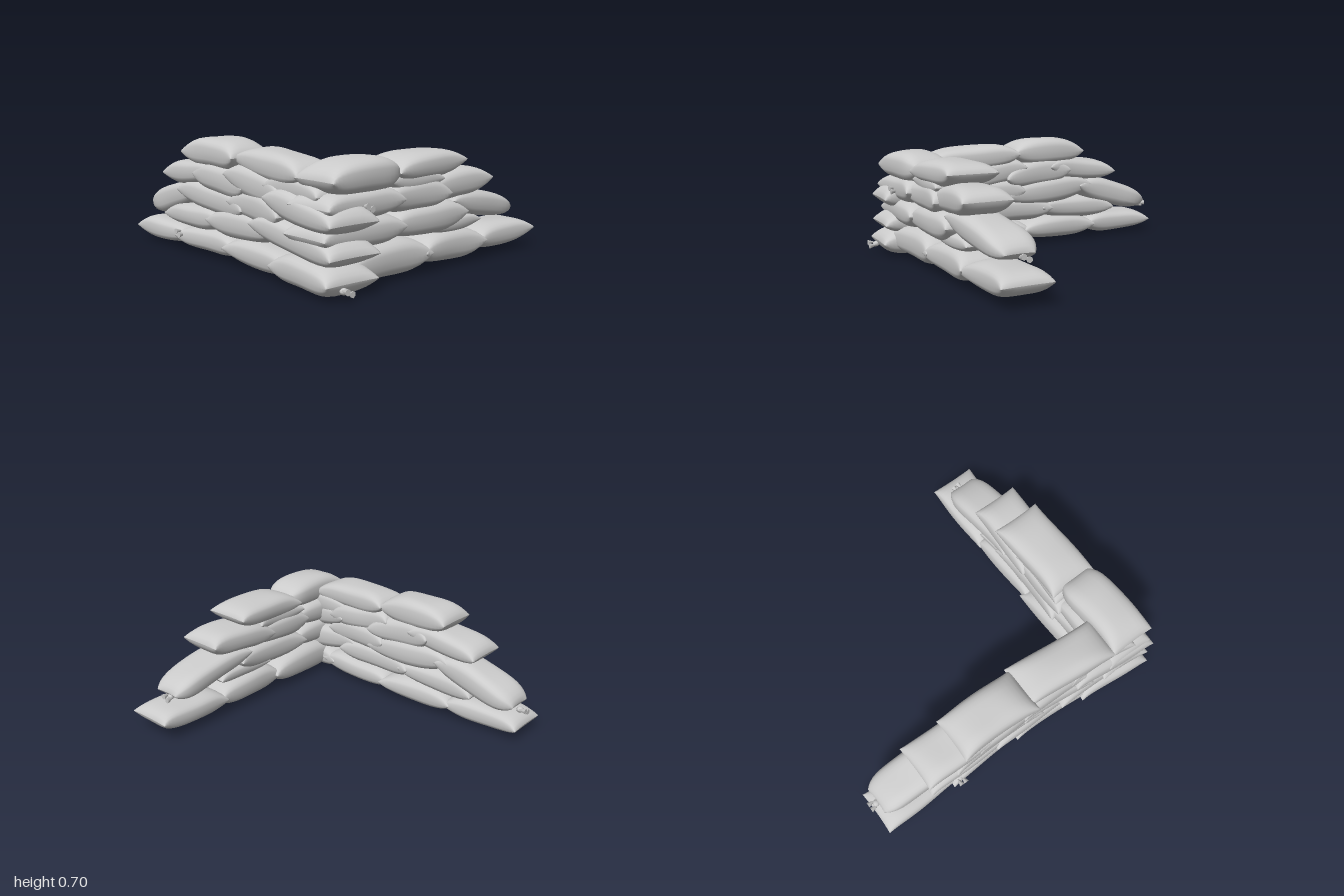
import * as THREE from 'three';
import { mergeVertices } from 'three/addons/utils/BufferGeometryUtils.js';

const material = new THREE.MeshStandardMaterial({ color: 0xcccccc, side: THREE.DoubleSide });

// Pillow: a tube with a rounded-box section, flattened to a flared seam at both ends.
// gather = -1 or 1 draws the first or last end together.
function bagGeometry(length, width, height, seed, gather) {
  let g = new THREE.CylinderGeometry(1, 1, 2, 28, 18, true).rotateX(Math.PI / 2);
  g.deleteAttribute('uv');
  g.deleteAttribute('normal');
  g = mergeVertices(g, 1e-4);
  const p = g.attributes.position;
  const squash = v => Math.sign(v) * Math.pow(Math.abs(v), 0.65);
  for (let i = 0; i < p.count; i++) {
    const s = Math.sin(p.getZ(i) * Math.PI / 2); // rings gather near the ends
    const x = squash(p.getX(i)), y = squash(p.getY(i));
    const full = Math.pow(Math.max(0, 1 - Math.abs(s) ** 3.5), 0.55);
    const flare = 0.96 + 0.05 * s ** 6 - 0.4 * Math.max(0, s * gather) ** 6;
    const dent = 1 + 0.05 * Math.sin(3 * s + seed * 1.7 + x * 2);
    const sag = 0.025 * Math.sin(seed * 2.3 + s * 2.5) * full;
    p.setXYZ(i,
      x * width / 2 * flare + 0.008 * Math.sin(seed + s * 2),
      height * (y / 2 * full * dent + sag),
      s * length / 2 * (1 + 0.025 * x * x * s ** 6));
  }
  g.computeVertexNormals();
  return g;
}

// Tied cloth knot: a small bead with two pinched tails
function makeKnot([x, y, z], yaw) {
  const knot = new THREE.Group();
  knot.name = 'bagTie';
  const bead = new THREE.Mesh(new THREE.SphereGeometry(0.022, 8, 6), material);
  bead.name = 'tieKnot';
  bead.scale.set(1, 0.8, 1);
  knot.add(bead);
  for (const side of [-1, 1]) {
    const tail = new THREE.Mesh(new THREE.ConeGeometry(0.018, 0.05, 6), material);
    tail.name = 'tieTail';
    tail.position.set(0.022, 0.008 * side, 0.016 * side);
    tail.rotation.set(0.5 * side, 0, Math.PI / 2);
    knot.add(tail);
  }
  knot.position.set(x, y, z);
  knot.rotation.y = yaw;
  return knot;
}

// Front wing: [x0, y0, x1, y1, height, z, width, gathered end]
const frontBags = [
  [-0.98, 0.08, -0.47, 0.09, 0.14, 0.625, 0.28],
  [-0.51, 0.09, 0.03, 0.09, 0.15, 0.62, 0.31],
  [-0.02, 0.09, 0.56, 0.09, 0.15, 0.63, 0.31],
  [0.46, 0.09, 0.95, 0.08, 0.17, 0.65, 0.33],
  [-0.94, 0.22, -0.40, 0.36, 0.17, 0.595, 0.27, -1],
  [-0.66, 0.20, -0.11, 0.23, 0.15, 0.62, 0.29],
  [-0.18, 0.23, 0.38, 0.23, 0.17, 0.62, 0.31],
  [0.28, 0.28, 0.94, 0.20, 0.17, 0.635, 0.32],
  [-0.48, 0.37, 0.14, 0.32, 0.18, 0.62, 0.30],
  [0.02, 0.36, 0.50, 0.34, 0.18, 0.625, 0.30],
  [0.38, 0.43, 0.94, 0.36, 0.17, 0.635, 0.31],
  [-0.67, 0.45, -0.18, 0.50, 0.15, 0.62, 0.29],
  [-0.32, 0.48, 0.14, 0.44, 0.19, 0.62, 0.30],
  [0.00, 0.51, 0.48, 0.44, 0.18, 0.625, 0.29],
  [0.35, 0.49, 0.80, 0.48, 0.15, 0.625, 0.26],
  [-0.43, 0.60, 0.07, 0.60, 0.18, 0.635, 0.28],
  [0.05, 0.60, 0.64, 0.56, 0.16, 0.62, 0.26, -0.4],
];

// Side wing: [z0, y0, z1, y1, height, x, width, gathered end]
const sideBags = [
  [0.66, 0.11, 0.06, 0.11, 0.20, 0.73, 0.32],
  [0.10, 0.11, -0.41, 0.11, 0.18, 0.73, 0.30],
  [-0.38, 0.10, -0.88, 0.12, 0.15, 0.72, 0.30],
  [0.83, 0.28, 0.28, 0.29, 0.17, 0.74, 0.31],
  [0.34, 0.28, -0.23, 0.30, 0.18, 0.73, 0.31],
  [0.02, 0.23, -0.40, 0.23, 0.10, 0.72, 0.25],
  [-0.16, 0.36, -0.75, 0.25, 0.15, 0.71, 0.28, 1],
  [0.82, 0.43, 0.30, 0.43, 0.17, 0.75, 0.31],
  [0.37, 0.43, -0.08, 0.42, 0.18, 0.73, 0.31],
  [0.04, 0.43, -0.45, 0.47, 0.17, 0.72, 0.30],
  [0.33, 0.51, -0.05, 0.50, 0.12, 0.72, 0.28],
  [0.79, 0.56, 0.28, 0.57, 0.18, 0.76, 0.29, 1],
  [0.30, 0.56, -0.23, 0.59, 0.15, 0.72, 0.31],
];

export function createModel() {
  const model = new THREE.Group();
  model.name = 'sandbagWall';

  const addWing = (name, bags, toPoint) => {
    const wing = new THREE.Group();
    wing.name = name;
    bags.forEach(([a, ya, b, yb, height, across, width, gather = 0], i) => {
      const p0 = toPoint(a, ya, across), p1 = toPoint(b, yb, across);
      const geometry = bagGeometry(p0.distanceTo(p1), width, height, i + a, gather);
      const bag = new THREE.Mesh(geometry, material);
      bag.name = 'sandbag';
      bag.position.copy(p0).lerp(p1, 0.5);
      bag.lookAt(p1);
      wing.add(bag);
    });
    model.add(wing);
  };
  // The front wing bends slightly forward towards the corner
  addWing('frontWing', frontBags, (x, y, z) => new THREE.Vector3(x, y, z + 0.06 * Math.max(0, x)));
  addWing('sideWing', sideBags, (z, y, x) => new THREE.Vector3(x, y, z));

  // Loose ties at bag mouths
  const ties = [
    [[-0.95, 0.18, 0.59], Math.PI],
    [[-0.46, 0.11, 0.755], -Math.PI / 2],
    [[0.68, 0.23, -0.74], Math.PI / 2],
    [[0.87, 0.42, 0.56], 0],
    [[0.95, 0.05, 0.77], 0],
  ];
  for (const [at, yaw] of ties) model.add(makeKnot(at, yaw));
  return model;
}
